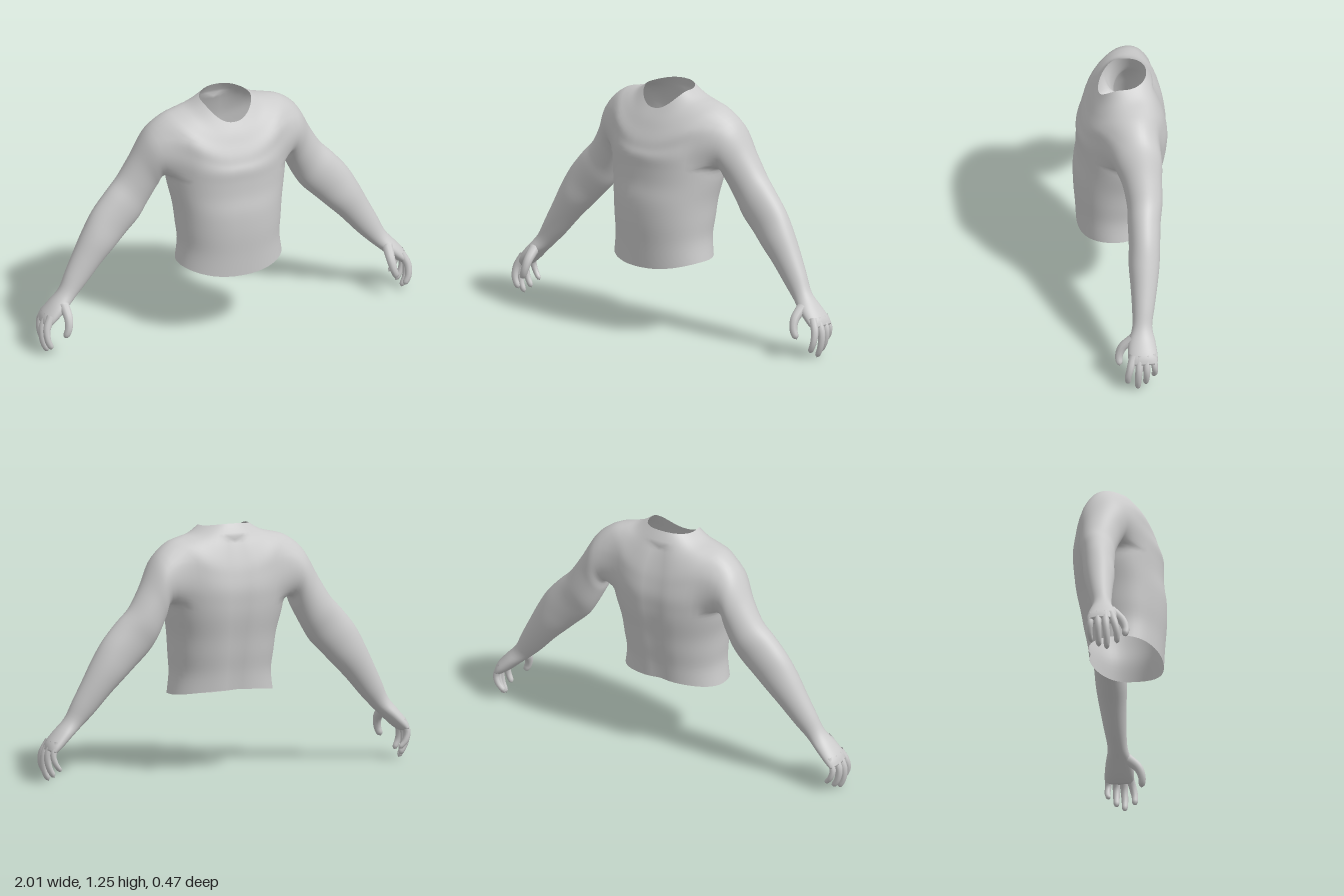
import * as THREE from 'three';
import { mergeVertices, mergeGeometries } from 'three/addons/utils/BufferGeometryUtils.js';

const SUB = 4;   // steps between key sections
const COLS = 24; // columns around half of the torso
const HOLE = { top: 3 * SUB, bottom: 6 * SUB, left: 7, right: 17 }; // armhole in the torso grid

// Torso sections, neck to waist: half width, side y, front z, front y, back z, back y, side z
const TORSO = [
  [0.13, 1.24, 0.11, 1.15, -0.13, 1.255, -0.01],
  [0.19, 1.205, 0.14, 1.10, -0.155, 1.21, -0.03],
  [0.265, 1.19, 0.165, 1.05, -0.185, 1.14, -0.05],
  [0.335, 1.168, 0.19, 1.0, -0.212, 1.06, -0.06],
  [0.335, 1.07, 0.205, 0.96, -0.226, 1.0, -0.06],
  [0.325, 0.97, 0.22, 0.92, -0.236, 0.93, -0.05],
  [0.315, 0.88, 0.22, 0.86, -0.233, 0.86, -0.03],
  [0.30, 0.79, 0.223, 0.78, -0.225, 0.79, -0.01],
  [0.28, 0.69, 0.235, 0.69, -0.205, 0.69, 0.01],
  [0.27, 0.59, 0.235, 0.58, -0.19, 0.60, 0.02],
  [0.262, 0.49, 0.226, 0.46, -0.172, 0.51, 0.03],
  [0.275, 0.39, 0.22, 0.35, -0.16, 0.42, 0.03],
];

// Arm and palm sections: outer x, y, inner x, y, front z, back z
const ARM = [
  [0.39, 1.13, 0.335, 0.87, 0.07, -0.185],
  [0.44, 1.04, 0.345, 0.82, 0.045, -0.185],
  [0.475, 0.97, 0.36, 0.78, 0.02, -0.18],
  [0.54, 0.86, 0.40, 0.70, 0.0, -0.178],
  [0.61, 0.785, 0.445, 0.63, 0.0, -0.165],
  [0.685, 0.695, 0.515, 0.56, 0.0, -0.157],
  [0.74, 0.60, 0.58, 0.495, 0.005, -0.15],
  [0.79, 0.50, 0.65, 0.425, 0.0, -0.135],
  [0.84, 0.40, 0.73, 0.335, -0.003, -0.115],
  [0.88, 0.315, 0.795, 0.27, 0.0, -0.10],
  [0.935, 0.25, 0.845, 0.225, 0.022, -0.112],
  [0.975, 0.2, 0.905, 0.17, 0.028, -0.12],
  [0.988, 0.165, 0.94, 0.145, 0.022, -0.118],
];

// Thumb and fingers: path points, base radius, tip radius
const DIGITS = {
  thumb: [[[0.875, 0.25, -0.005], [0.872, 0.195, 0.052], [0.88, 0.145, 0.07], [0.898, 0.1, 0.066]], 0.028, 0.016],
  indexFinger: [[[0.945, 0.2, 0.0], [0.975, 0.14, 0.018], [0.975, 0.085, 0.03], [0.952, 0.032, 0.03]], 0.022, 0.014],
  middleFinger: [[[0.95, 0.2, -0.03], [0.983, 0.13, -0.024], [0.98, 0.06, -0.02], [0.955, 0.0, -0.02]], 0.022, 0.014],
  ringFinger: [[[0.95, 0.2, -0.065], [0.98, 0.135, -0.063], [0.972, 0.075, -0.062], [0.943, 0.02, -0.06]], 0.021, 0.014],
  littleFinger: [[[0.94, 0.2, -0.095], [0.967, 0.14, -0.103], [0.955, 0.095, -0.106], [0.922, 0.055, -0.098]], 0.019, 0.012],
};

// Smooth in-between sections (Catmull-Rom on every column)
function resample(rows) {
  const out = [];
  const at = (i) => rows[Math.min(Math.max(i, 0), rows.length - 1)];
  for (let s = 0; s <= (rows.length - 1) * SUB; s++) {
    const i = Math.floor(s / SUB), t = (s % SUB) / SUB;
    const [a, b, c, d] = [at(i - 1), at(i), at(i + 1), at(i + 2)];
    out.push(b.map((_, k) => b[k] + 0.5 * t * (c[k] - a[k]
      + t * (2 * a[k] - 5 * b[k] + 4 * c[k] - d[k] + t * (3 * (b[k] - c[k]) + d[k] - a[k])))));
  }
  return out;
}

function mirrored(geometry) {
  const g = geometry.clone().scale(-1, 1, 1);
  const ix = g.index.array;
  for (let i = 0; i < ix.length; i += 3) [ix[i], ix[i + 1]] = [ix[i + 1], ix[i]];
  return g;
}

// Relax the vertices round the shoulder so that arm and torso flow together
function relax(points, index, passes) {
  const near = points.map(() => new Set());
  for (let i = 0; i < index.length; i += 3) {
    for (let k = 0; k < 3; k++) {
      near[index[i + k]].add(index[i + (k + 1) % 3]);
      near[index[i + (k + 1) % 3]].add(index[i + k]);
    }
  }
  const centre = new THREE.Vector3(0.34, 1.02, -0.05);
  const area = points.map((p) => THREE.MathUtils.clamp((0.22 - p.distanceTo(centre)) / 0.06, 0, 1));
  for (let n = 0; n < passes; n++) {
    const old = points.map((p) => p.clone());
    points.forEach((p, i) => {
      if (!area[i]) return;
      const mean = new THREE.Vector3();
      near[i].forEach((j) => mean.add(old[j]));
      p.lerp(mean.divideScalar(near[i].size), 0.5 * area[i]);
    });
  }
}

// Half torso with an armhole, and the arm grown from the rim of that hole
function halfBody() {
  const points = [], index = [];
  const quad = (a, b, c, d) => index.push(a, b, c, b, d, c);

  const rows = resample(TORSO);
  rows.forEach(([w, ys, zf, yf, zb, yb, zs]) => {
    for (let j = 0; j <= COLS; j++) {
      const a = (j / COLS - 0.5) * Math.PI, s = Math.sin(a), front = s > 0;
      const x = j % COLS ? w * Math.cos(a) ** 0.9 : 0;
      let z = zs + ((front ? zf : zb) - zs) * Math.abs(s) ** 0.95;
      if (!front) z += 0.014 * Math.exp(-((x / 0.045) ** 2)) * (ys < 1.2 ? 1 : 0); // spine groove
      points.push(new THREE.Vector3(x, ys + ((front ? yf : yb) - ys) * s * s, z));
    }
  });
  const id = (i, j) => i * (COLS + 1) + j;
  for (let i = 0; i < rows.length - 1; i++) {
    for (let j = 0; j < COLS; j++) {
      if (i >= HOLE.top && i < HOLE.bottom && j >= HOLE.left && j < HOLE.right) continue;
      quad(id(i, j), id(i, j + 1), id(i + 1, j), id(i + 1, j + 1));
    }
  }

  // Rim of the armhole, from its top centre towards the front
  let ring = [];
  const mid = COLS / 2;
  for (let j = mid; j < HOLE.right; j++) ring.push(id(HOLE.top, j));
  for (let i = HOLE.top; i < HOLE.bottom; i++) ring.push(id(i, HOLE.right));
  for (let j = HOLE.right; j > HOLE.left; j--) ring.push(id(HOLE.bottom, j));
  for (let i = HOLE.bottom; i > HOLE.top; i--) ring.push(id(i, HOLE.left));
  for (let j = HOLE.left; j < mid; j++) ring.push(id(HOLE.top, j));

  const n = ring.length;
  for (const [ox, oy, ix, iy, zf, zb] of resample(ARM)) {
    const next = ring.map((_, k) => {
      const a = (k / n) * Math.PI * 2, c = Math.cos(a) / 2, s = Math.sin(a) / 2;
      return points.push(new THREE.Vector3(
        (ox + ix) / 2 + c * (ox - ix), (oy + iy) / 2 + c * (oy - iy), (zf + zb) / 2 + s * (zf - zb))) - 1;
    });
    for (let k = 0; k < n; k++) quad(ring[k], ring[(k + 1) % n], next[k], next[(k + 1) % n]);
    ring = next;
  }
  // Closed end of the palm
  const tip = points.push(new THREE.Vector3(0.968, 0.148, -0.048)) - 1;
  for (let k = 0; k < n; k++) index.push(ring[k], ring[(k + 1) % n], tip);

  relax(points, index, 6);
  const g = new THREE.BufferGeometry().setFromPoints(points);
  g.setIndex(index);
  return g;
}

// Tapered tube with a rounded tip
function digit([path, r0, r1]) {
  const steps = 18, sides = 10;
  const curve = new THREE.CatmullRomCurve3(path.map((p) => new THREE.Vector3(...p)));
  const g = new THREE.TubeGeometry(curve, steps, 1, sides);
  const pos = g.attributes.position, v = new THREE.Vector3();
  for (let i = 0; i <= steps; i++) {
    const t = i / steps, c = curve.getPointAt(t);
    const round = Math.sqrt(1 - Math.max(0, (t - 0.87) / 0.13) ** 2);
    const r = (r0 + (r1 - r0) * t) * round;
    for (let k = 0; k <= sides; k++) {
      const m = i * (sides + 1) + k;
      v.fromBufferAttribute(pos, m).sub(c).multiplyScalar(r).add(c);
      pos.setXYZ(m, v.x, v.y, v.z);
    }
  }
  g.deleteAttribute('normal');
  g.deleteAttribute('uv');
  const smooth = mergeVertices(g, 1e-5);
  smooth.computeVertexNormals();
  return smooth;
}

export function createModel() {
  const group = new THREE.Group();
  const material = new THREE.MeshStandardMaterial({ color: 0xcccccc, side: THREE.DoubleSide });
  const add = (parent, name, geometry) => {
    const mesh = new THREE.Mesh(geometry, material);
    mesh.name = name;
    parent.add(mesh);
  };

  // Torso, arms and palms in one skin, open at neck and waist
  const half = halfBody();
  const body = mergeVertices(mergeGeometries([half, mirrored(half)]), 1e-5);
  body.computeVertexNormals();
  add(group, 'torsoAndArms', body);

  // Fingers of both hands
  for (const side of ['left', 'right']) {
    const hand = new THREE.Group();
    hand.name = side + 'HandFingers';
    for (const [name, spec] of Object.entries(DIGITS)) {
      const g = digit(spec);
      const placed = side === 'left' ? g : mirrored(g);
      placed.computeVertexNormals();
      add(hand, name, placed);
    }
    group.add(hand);
  }
  return group;
}
